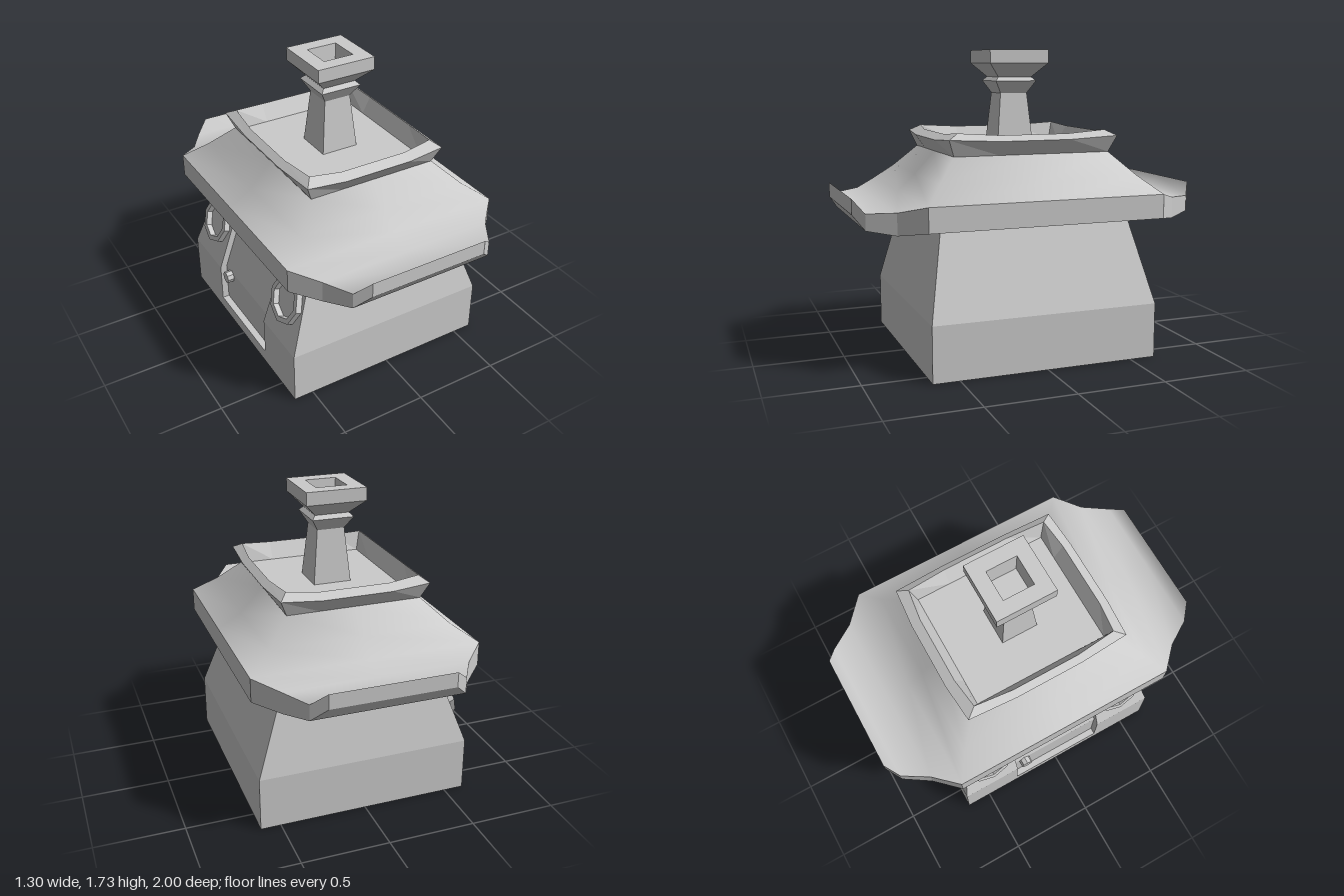
import * as THREE from 'three';
import { mergeVertices, toCreasedNormals } from 'three/addons/utils/BufferGeometryUtils.js';

const flat = new THREE.MeshStandardMaterial({ color: 0xcccccc, flatShading: true, side: THREE.DoubleSide });
const smooth = new THREE.MeshStandardMaterial({ color: 0xcccccc, side: THREE.DoubleSide });

// Quads between successive rows of [x, y, z] points
function grid(rows) {
  const quads = [];
  for (let r = 0; r < rows.length - 1; r++)
    for (let c = 0; c < rows[r].length - 1; c++)
      quads.push([rows[r][c], rows[r + 1][c], rows[r + 1][c + 1], rows[r][c + 1]]);
  return quads;
}

// Repeat the quads of one quarter in all four quarters
function mirror4(quads) {
  const out = [];
  for (const sx of [1, -1]) for (const sz of [1, -1])
    for (const q of quads) {
      const m = q.map(([x, y, z]) => [x * sx, y, z * sz]);
      out.push(sx * sz > 0 ? m : m.reverse());
    }
  return out;
}

function quadGeometry(quads) {
  const pos = quads.flatMap(([a, b, c, d]) => [a, b, c, a, c, d].flat());
  const geo = new THREE.BufferGeometry();
  geo.setAttribute('position', new THREE.Float32BufferAttribute(pos, 3));
  geo.computeVertexNormals();
  return geo;
}

export function createModel() {
  const model = new THREE.Group();
  const add = (name, geo, mat = flat) => {
    const mesh = new THREE.Mesh(geo, mat);
    mesh.name = name;
    model.add(mesh);
    return mesh;
  };

  // Body: upright base, tapering above y = 0.31, open underneath
  const bend = 0.31;
  const wallX = y => 0.615 - 0.358 * Math.max(0, y - bend);
  const wallZ = y => 0.65 - 0.21 * Math.max(0, y - bend);
  const levels = [0.8, bend, 0];
  const doorW = 0.29, doorTop = 0.72, doorBase = 0.075, inset = 0.04;
  const onWall = (y, z, d = 0) => [-wallX(y) + d, y, z];
  const doorLevels = [doorTop, bend, doorBase];
  const span = (ys, z0, z1, d) => grid(ys.map(y => [onWall(y, z0, d), onWall(y, z1, d)]));
  const walls = [
    ...grid(levels.map(y => [[-wallX(y), y, wallZ(y)], [wallX(y), y, wallZ(y)]])),
    ...grid(levels.map(y => [[wallX(y), y, -wallZ(y)], [-wallX(y), y, -wallZ(y)]])),
    ...grid(levels.map(y => [[wallX(y), y, wallZ(y)], [wallX(y), y, -wallZ(y)]])),
    // Door wall, left open around the door
    ...grid(levels.map(y => [onWall(y, -wallZ(y)), onWall(y, -doorW)])),
    ...grid(levels.map(y => [onWall(y, doorW), onWall(y, wallZ(y))])),
    ...span([0.8, doorTop], -doorW, doorW),
    ...span([doorBase, 0], -doorW, doorW),
  ];
  add('body', quadGeometry(walls));

  // Recessed door with its reveals
  const reveals = [
    ...grid(doorLevels.map(y => [onWall(y, -doorW), onWall(y, -doorW, inset)])),
    ...grid(doorLevels.map(y => [onWall(y, doorW, inset), onWall(y, doorW)])),
    ...[doorTop, doorBase].flatMap(y => grid([
      [onWall(y, -doorW, inset), onWall(y, doorW, inset)],
      [onWall(y, -doorW), onWall(y, doorW)],
    ])),
  ];
  add('doorFrame', quadGeometry(reveals));
  add('door', quadGeometry(span(doorLevels, -doorW, doorW, inset)));

  const knob = add('doorKnob', new THREE.CylinderGeometry(0.036, 0.036, 0.08, 8));
  knob.rotation.z = Math.PI / 2;
  knob.position.set(-0.575, 0.28, -0.22);

  const lintel = add('doorLintel', new THREE.BoxGeometry(0.11, 0.04, 2 * doorW));
  lintel.position.set(-0.5, 0.735, 0);

  // Octagonal window frames lying on the sloping wall
  const octagon = r => Array.from({ length: 8 }, (_, i) =>
    new THREE.Vector2(r * Math.cos(i * Math.PI / 4), r * Math.sin(i * Math.PI / 4)));
  const frameShape = new THREE.Shape(octagon(0.138));
  frameShape.holes.push(new THREE.Path(octagon(0.108)));
  const frameGeo = new THREE.ExtrudeGeometry(frameShape, { depth: 0.065, bevelEnabled: false });
  frameGeo.translate(0, 0, -0.03);
  for (const s of [-1, 1]) {
    const frame = add('windowFrame', frameGeo);
    frame.rotation.set(0, -Math.PI / 2, -0.345, 'ZYX');
    frame.position.set(-wallX(0.545), 0.545, s * 0.45);
  }

  // Roof, one quarter: slopes from the top rectangle to the upturned eaves
  const T = [0.385, 1.155, 0.455], M = [0.515, 1.015, 0.57], E = [0.65, 0.935, 0.67];
  const eaves = [E, [0.52, 0.895, 0.8], [0.43, 0.885, 0.945], [0.35, 0.955, 1]];
  const atX0 = p => [0, p[1], p[2]], atZ0 = p => [p[0], p[1], 0];
  const slopes = [
    ...grid([T, [M[0], 1.03, M[2]], ...eaves].map(p => [atX0(p), p])),
    ...grid([[T, M, E].map(atZ0), [T, [M[0], 1.03, M[2]], E]]),
  ];
  slopes.forEach(q => q.forEach(p => { if (p[0] === M[0] && p[2] === 0) p[1] = 1.015; }));
  const roofGeo = mergeVertices(quadGeometry(mirror4(slopes)).deleteAttribute('normal'));
  roofGeo.computeVertexNormals();
  add('roof', roofGeo, smooth);

  // Eave edge and underside
  const under = [[0.65, 0.8, 0.67], [0.52, 0.775, 0.8], [0.43, 0.795, 0.945], [0.35, 0.87, 1]];
  const loop = pts => [atX0(pts[3]), ...[...pts].reverse(), atZ0(pts[0])];
  add('eaveEdge', quadGeometry(mirror4(grid([loop(eaves), loop(under)]))));
  const underRows = [...under].reverse().map(p => [atX0(p), p]);
  underRows.push([[0, 0.8, 0], [0.65, 0.8, 0]]);
  add('eaveUnderside', toCreasedNormals(quadGeometry(mirror4(grid(underRows))), 0.7), smooth);

  // Tray on top of the roof, with a bowed rim rising to its corners
  const ring = (x, z, y, cx, cz, cy) =>
    [[0, y, z], [0.2, y, z], [cx, cy, cz], [x, y, 0.2], [x, y, 0]];
  const tray = [
    ring(0, 0, 1.17, 0, 0, 1.17).map(() => [0, 1.17, 0]),
    ring(0.35, 0.4, 1.17, 0.35, 0.4, 1.17),
    ring(0.4, 0.455, 1.265, 0.38, 0.432, 1.28),
    ring(0.44, 0.51, 1.235, 0.425, 0.492, 1.248),
    ring(0.385, 0.455, 1.155, 0.385, 0.455, 1.155),
  ];
  add('roofTray', quadGeometry(mirror4(grid(tray))));

  // Square chimney with a collar and a hollow cap
  const profile = [
    [0.11, 1.17], [0.08, 1.48], [0.122, 1.55], [0.1, 1.572], [0.175, 1.65],
    [0.175, 1.725], [0.09, 1.725], [0.08, 1.6], [0, 1.6],
  ].map(([r, y]) => new THREE.Vector2(r * Math.SQRT2, y));
  const chimney = add('chimney', new THREE.LatheGeometry(profile, 4));
  chimney.rotation.y = Math.PI / 4;

  return model;
}
